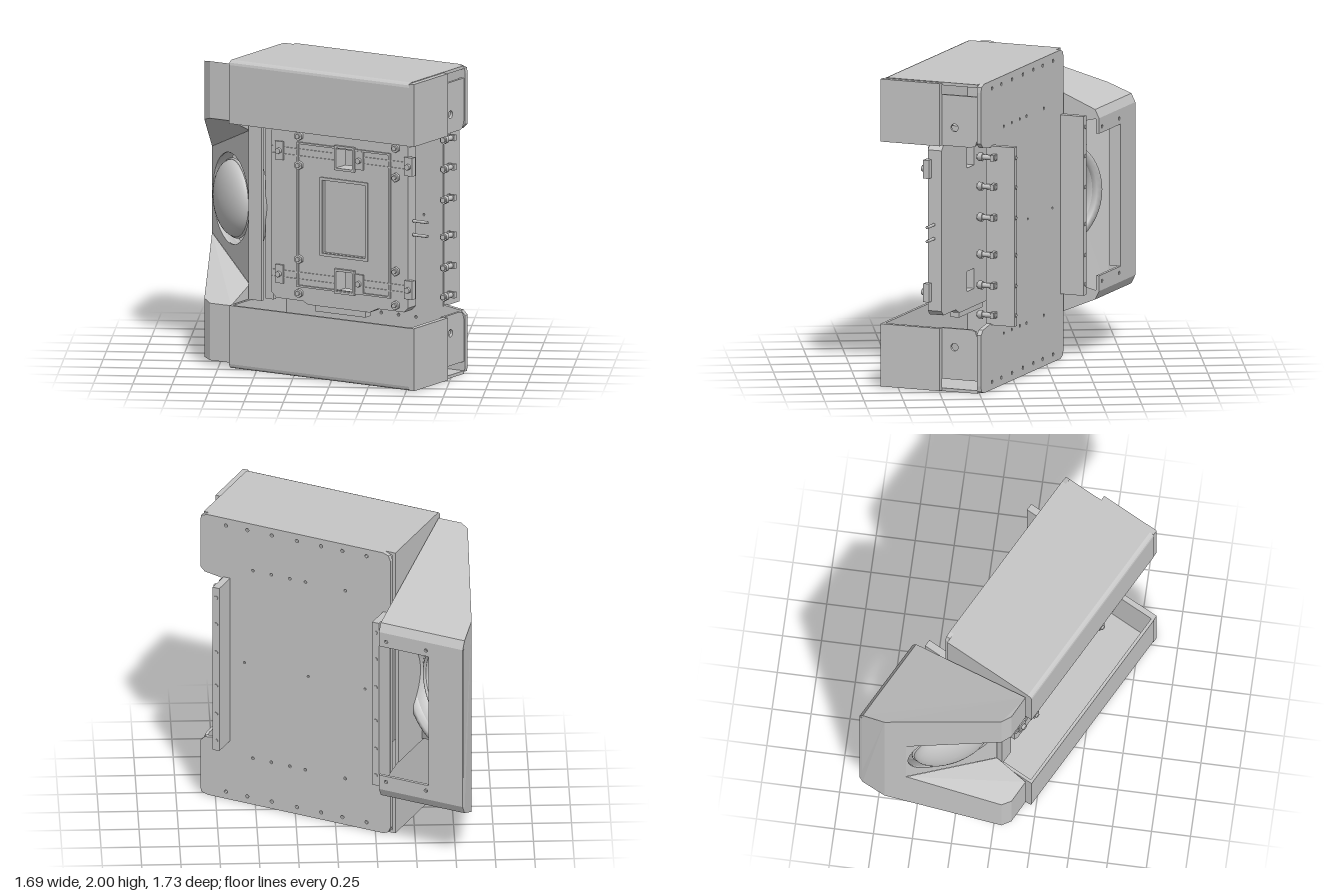
import * as THREE from 'three';

export function createModel() {
  const root = new THREE.Group();
  const body = new THREE.Group(); // everything is laid out square, then turned
  body.name = 'body';
  body.rotation.y = -0.48;
  root.add(body);
  const metal = new THREE.MeshStandardMaterial({ color: 0xc6c6c6, side: THREE.DoubleSide });
  metal.name = 'plainMetal';

  const add = (name, geo, parent = body) => {
    const m = new THREE.Mesh(geo, metal);
    m.name = name;
    parent.add(m);
    return m;
  };
  // box given by its limits
  const box = (name, x0, x1, y0, y1, z0, z1) =>
    add(name, new THREE.BoxGeometry(x1 - x0, y1 - y0, z1 - z0)
      .translate((x0 + x1) / 2, (y0 + y1) / 2, (z0 + z1) / 2));
  // cylinder along z or x
  const rod = (name, x, y, z, r, len, sides = 12, alongX = false) => {
    const g = new THREE.CylinderGeometry(r, r, len, sides);
    if (alongX) g.rotateZ(Math.PI / 2); else g.rotateX(Math.PI / 2);
    return add(name, g.translate(x, y, z));
  };
  const shapeOf = pts => new THREE.Shape(pts.map(p => new THREE.Vector2(p[0], p[1])));
  const hole = (s, x, y, r, n = 10) => {
    const pts = [];
    for (let i = 0; i < n; i++) {
      const a = -i / n * Math.PI * 2;
      pts.push(new THREE.Vector2(x + r * Math.cos(a), y + r * Math.sin(a)));
    }
    s.holes.push(new THREE.Path(pts));
  };
  const rectHole = (s, x0, x1, y0, y1) =>
    s.holes.push(new THREE.Path([[x0, y0], [x0, y1], [x1, y1], [x1, y0]].map(p => new THREE.Vector2(...p))));
  const extrude = (s, depth) => new THREE.ExtrudeGeometry(s, { depth, bevelEnabled: false, curveSegments: 8 });
  // flat panel from corners [x, z, y]
  const panel = (name, pts) => {
    const pos = [];
    for (let i = 1; i < pts.length - 1; i++)
      for (const p of [pts[0], pts[i], pts[i + 1]]) pos.push(p[0], p[2], p[1]);
    const g = new THREE.BufferGeometry();
    g.setAttribute('position', new THREE.Float32BufferAttribute(pos, 3));
    g.computeVertexNormals();
    add(name, g);
  };
  const pair = (name, pts) => {
    panel(name, pts);
    panel(name, pts.map(p => [p[0], p[1], 2 - p[2]]).reverse());
  };

  // back plate with narrowed middle on one side and rows of screw holes
  const c = 0.05;
  const plate = shapeOf([[-0.48 + c, 0], [0.86 - c, 0], [0.855, 0.015], [0.86, c], [0.86, 0.38], [0.83, 0.41],
    [0.70, 0.43], [0.70, 1.57], [0.83, 1.59], [0.86, 1.62], [0.86, 2 - c], [0.855, 1.985], [0.86 - c, 2],
    [-0.48 + c, 2], [-0.465, 1.985], [-0.48, 2 - c], [-0.48, c], [-0.465, 0.015]]);
  for (const f of [y => y, y => 2 - y]) {
    for (const x of [0.68, 0.53, 0.357, 0.18, 0.01, -0.14, -0.31]) hole(plate, x, f(0.05), 0.012);
    for (const x of [0.49, 0.36, 0.23, 0.12, -0.16]) hole(plate, x, f(0.33), 0.01);
  }
  for (const x of [0.55, 0.1, -0.3]) hole(plate, x, 1, 0.008);
  add('backPlate', extrude(plate, 0.03).translate(0, 0, -0.175));

  // rear flanges, their screws and standoffs
  for (const x0 of [-0.475, 0.65]) box('rearFlange', x0, x0 + 0.047, 0.42, 1.58, -0.335, -0.14);
  for (const y of [0.49, 0.68, 0.88, 1.12, 1.32, 1.51]) {
    for (const x of [-0.452, 0.673]) rod('flangeScrew', x, y, -0.336, 0.013, 0.008, 10);
    rod('standoff', 0.725, y, -0.155, 0.017, 0.13);
    rod('standoffHead', 0.725, y, -0.115, 0.028, 0.03, 6);
    box('standoffFoot', 0.69, 0.75, y - 0.02, y + 0.02, -0.215, -0.19);
  }

  // upper and lower hollow arms
  for (const f of [y => y, y => 2 - y]) {
    const arm = shapeOf([[0.145, 0], [-0.48, 0], [-0.495, 0.005], [-0.506, 0.015], [-0.51, 0.03], [-0.51, 0.41],
      [-0.49, 0.41], [-0.49, 0.02], [0.145, 0.02]].map(p => [p[0], f(p[1])]));
    add('armCover', extrude(arm, 1.35).rotateY(Math.PI / 2).translate(-0.5, 0, 0));
    const [lo, hi] = [Math.min(f(0.005), f(0.41)), Math.max(f(0.005), f(0.41))];
    box('armLeftEnd', -0.5, -0.48, lo, hi, -0.145, 0.49);
    box('armRightEnd', 0.85, 0.885, lo, hi, 0.10, 0.508);
    const br = shapeOf([[0.145, 0.08], [-0.1, 0.08], [-0.1, 0.41], [0.1, 0.41], [0.13, 0.4], [0.145, 0.36]]
      .map(p => [p[0], f(p[1])]));
    hole(br, -0.013, f(0.29), 0.025, 16);
    add('endBracket', extrude(br, 0.02).rotateY(Math.PI / 2).translate(0.83, 0, 0));
  }

  // upright strips between the housing and the module
  box('sideStrip', -0.5, -0.40, 0.41, 1.59, 0.26, 0.28);
  box('sideStrip', -0.5, -0.48, 0.41, 1.59, -0.1, 0.26);
  box('innerStrip', -0.42, -0.36, 0.41, 1.59, 0.17, 0.2);

  // central module: chamfered body with two through windows and a front pocket
  const outline = [[-0.30, 0.44], [-0.10, 0.44], [-0.06, 0.42], [0.40, 0.42], [0.46, 0.45], [0.66, 0.45], [0.69, 0.48],
    [0.69, 1.52], [0.66, 1.55], [0.46, 1.55], [0.40, 1.58], [-0.06, 1.58], [-0.10, 1.56], [-0.30, 1.56],
    [-0.34, 1.52], [-0.34, 0.48]];
  const base = shapeOf(outline), front = shapeOf(outline);
  for (const y of [0.6, 1.4]) for (const s of [base, front]) rectHole(s, 0.16, 0.28, y - 0.065, y + 0.065);
  rectHole(front, 0.05, 0.37, 0.77, 1.24);
  add('moduleBase', extrude(base, 0.07).translate(0, 0, 0.17));
  add('moduleFront', extrude(front, 0.025).translate(0, 0, 0.24));

  // raised frames on the module front
  const ring = (name, x0, x1, y0, y1, w, d) => {
    const s = shapeOf([[x0, y0], [x1, y0], [x1, y1], [x0, y1]]);
    rectHole(s, x0 + w, x1 - w, y0 + w, y1 - w);
    add(name, extrude(s, d).translate(0, 0, 0.265));
  };
  ring('moduleFrame', -0.14, 0.56, 0.53, 1.47, 0.012, 0.012);
  ring('screenFrame', 0.03, 0.39, 0.75, 1.26, 0.018, 0.01);
  for (const y of [0.6, 1.4]) {
    ring('windowFrame', 0.145, 0.295, y - 0.08, y + 0.08, 0.015, 0.02);
    for (const x of [-0.27, 0.33, 0.70]) {
      box('clip', x - 0.03, x + 0.03, y - 0.06, y + 0.06, 0.24, 0.28);
      rod('clipScrew', x, y, 0.285, 0.02, 0.03, 6);
    }
    for (const [x0, x1] of [[-0.33, 0.145], [0.295, 0.68]])
      for (const d of [-0.022, 0.022]) box('moduleRib', x0, x1, y + d - 0.004, y + d + 0.004, 0.265, 0.272);
  }
  for (const x of [-0.125, 0.6]) for (const y of [0.49, 0.71, 1.32, 1.51]) {
    rod('hexPost', x, y, 0.27, 0.03, 0.03, 6);
    rod('hexPostTip', x, y, 0.287, 0.015, 0.02, 10);
  }
  for (const y of [0.40, 1.60]) box('cableBar', -0.02, 0.36, y - 0.02, y + 0.02, 0.19, 0.25);
  for (const y of [0.95, 1.04]) rod('connectorPin', 0.755, y, 0.22, 0.01, 0.11, 8, true);

  // side housing: sloped roof and floor, slanted outer wall with a flared mouth
  const A = [-0.51, 0.47, 1.97], B = [-0.668, 0.472, 1.97], F = [-0.731, 0.437, 1.96], R = [-1.077, -0.228, 1.68],
    K = [-1.1, -0.38, 1.615], L = [-1.1, -0.407, 1.56], G = [-1.013, -0.104, 1.28], N = [-0.731, 0.437, 1.58],
    M = [-0.668, 0.472, 1.6], P = [-0.51, 0.47, 1.6], Q = [-0.51, 0.249, 1.5],
    I = [-0.51, -0.38, 1.615], J = [-0.51, -0.407, 1.56], S = [-0.51, -0.15, 1.5];
  const low = p => [p[0], p[1], 2 - p[2]];
  pair('housingSlope', [A, B, F, R, K, I]);
  pair('housingRearBevel', [I, K, L, J]);
  pair('housingOuterWall', [N, F, R, G]);
  panel('housingOuterWall', [R, low(R), low(G), G]);
  panel('housingRearCorner', [R, K, L, low(L), low(K), low(R)]);
  pair('housingFront', [A, P, M, B]);
  pair('housingFrontCorner', [B, M, N, F]);
  pair('hornSlope', [Q, P, M, N, G]);
  pair('housingInnerWall', [Q, P, A, I, J, S]);

  // rear wall, with a window that runs out to the inner edge
  const rear = shapeOf([[-1.1, 0.44], [-0.51, 0.44], [-0.51, 0.54], [-0.86, 0.54], [-0.86, 1.46],
    [-0.51, 1.46], [-0.51, 1.56], [-1.1, 1.56]]);
  for (const y of [0.5, 1.5]) for (const x of [-0.84, -0.56]) hole(rear, x, y, 0.012);
  add('housingRear', extrude(rear, 0.02).translate(0, 0, -0.407));
  box('windowLip', -0.88, -0.86, 0.54, 1.46, -0.407, -0.33);

  // speaker baffle, recessed surround and dome
  const speaker = new THREE.Group();
  speaker.name = 'speaker';
  speaker.position.set(-0.76, 1, 0.072);
  speaker.rotation.y = Math.atan2(-0.574, 0.818);
  body.add(speaker);
  const baffle = shapeOf([[-0.309, -0.28], [0.306, -0.5], [0.306, 0.5], [-0.309, 0.28]]);
  hole(baffle, 0, 0, 0.295, 48);
  add('baffle', extrude(baffle, 0.01).translate(0, 0, -0.01), speaker);
  const lathe = pts => new THREE.LatheGeometry(pts.map(p => new THREE.Vector2(...p)), 48).rotateX(Math.PI / 2);
  add('surround', lathe([[0.295, 0], [0.31, -0.07], [0.36, -0.07], [0.36, -0.11], [0.32, -0.11], [0.31, -0.07]]), speaker);
  const dome = [];
  for (let i = 0; i <= 10; i++) {
    const a = i / 10 * Math.PI / 2;
    dome.push([0.25 * Math.cos(a) + 1e-5, 0.11 * Math.sin(a)]);
  }
  add('dome', lathe(dome).translate(0, 0, -0.025), speaker);
  add('domeRim', new THREE.TorusGeometry(0.25, 0.01, 8, 48).translate(0, 0, -0.025), speaker);

  return root;
}
